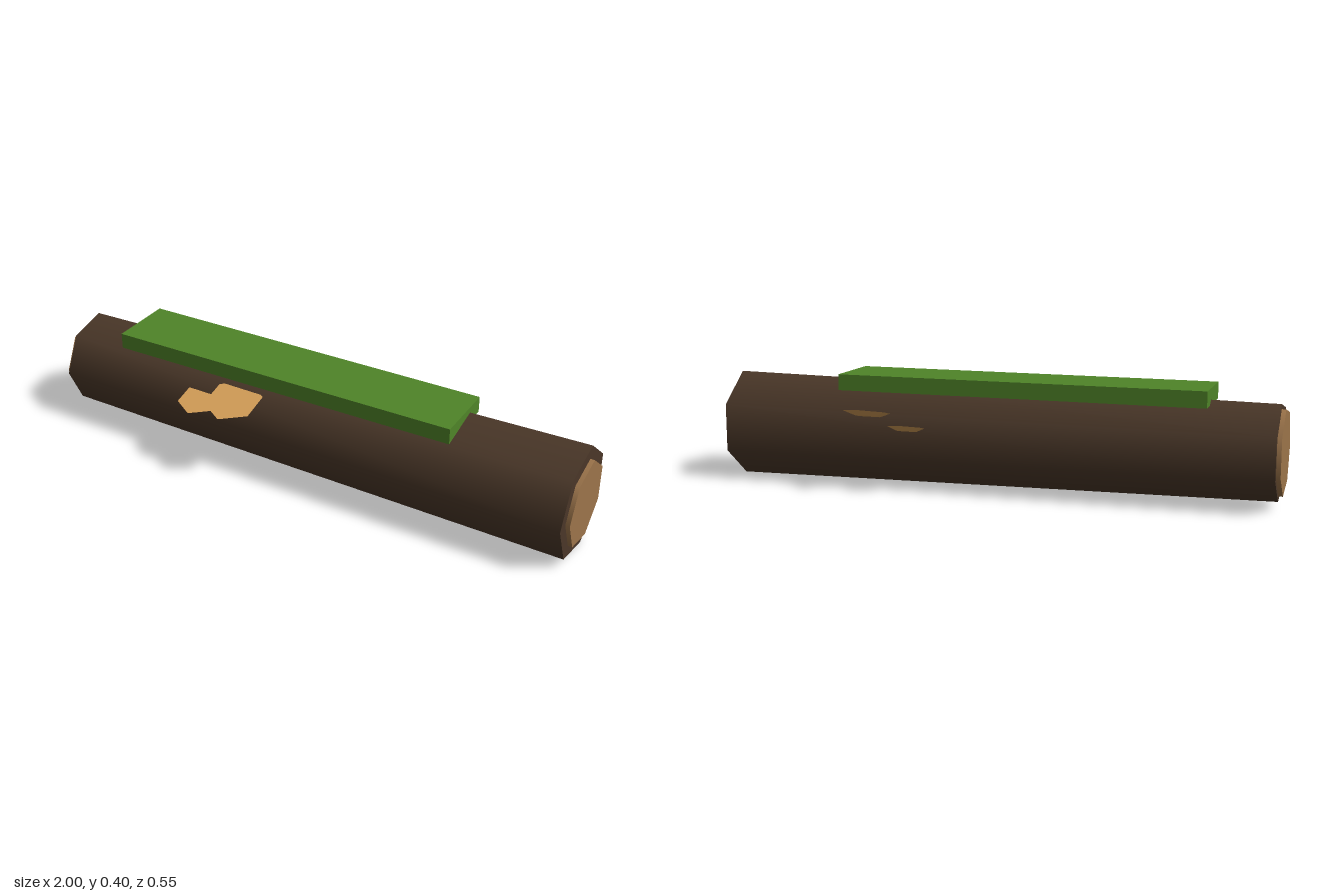
import * as THREE from 'three';

const material = (name, color, flatShading = false) => {
  const m = new THREE.MeshStandardMaterial({ color, flatShading });
  m.name = name;
  return m;
};

export function createModel() {
  const log = new THREE.Group();
  log.name = 'fallenLog';
  const bark = material('bark', 0x4a3728);
  const wood = material('cutWood', 0x9c744a);
  const moss = material('moss', 0x4f8428);
  const fungus = material('fungus', 0xd29c56, true);

  const add = (name, geometry, mat, x, y, z) => {
    const mesh = new THREE.Mesh(geometry, mat);
    mesh.name = name;
    mesh.position.set(x, y, z);
    log.add(mesh);
    return mesh;
  };
  // Seven-sided drum lying along x
  const drum = (rightEnd, leftEnd, length) =>
    new THREE.CylinderGeometry(leftEnd, rightEnd, length, 7).rotateZ(-Math.PI / 2);

  const axisY = 0.194, axisZ = -0.006;

  // Tapered trunk with a cut disc on each end
  add('trunk', drum(0.168, 0.196, 1.97), bark, 0, axisY, axisZ);
  for (const [side, name] of [[1, 'leftCutEnd'], [-1, 'rightCutEnd']])
    add(name, drum(0.15, 0.15, 0.03), wood, side * 0.985, axisY, axisZ);

  // Slab of moss along the top
  add('mossSlab', new THREE.BoxGeometry(1.315, 0.057, 0.236), moss, -0.097, 0.3715, axisZ);

  // Tilted hexagonal shelf fungi: x, y of upper face, z, radius
  const shelves = [
    [-0.235, 0.3045, 0.171, 0.104],
    [-0.38, 0.2645, 0.167, 0.08],
    [0.42, 0.28, -0.187, 0.09],
    [0.278, 0.232, -0.176, 0.073],
  ];
  shelves.forEach(([x, y, z, r], i) => {
    const h = 0.014;
    const cap = new THREE.CylinderGeometry(r, r * 0.5, h, 6).translate(0, -h / 2, 0);
    add(`shelfFungus${i + 1}`, cap, fungus, x, y, z).rotation.x = 0.243;
  });

  return log;
}
